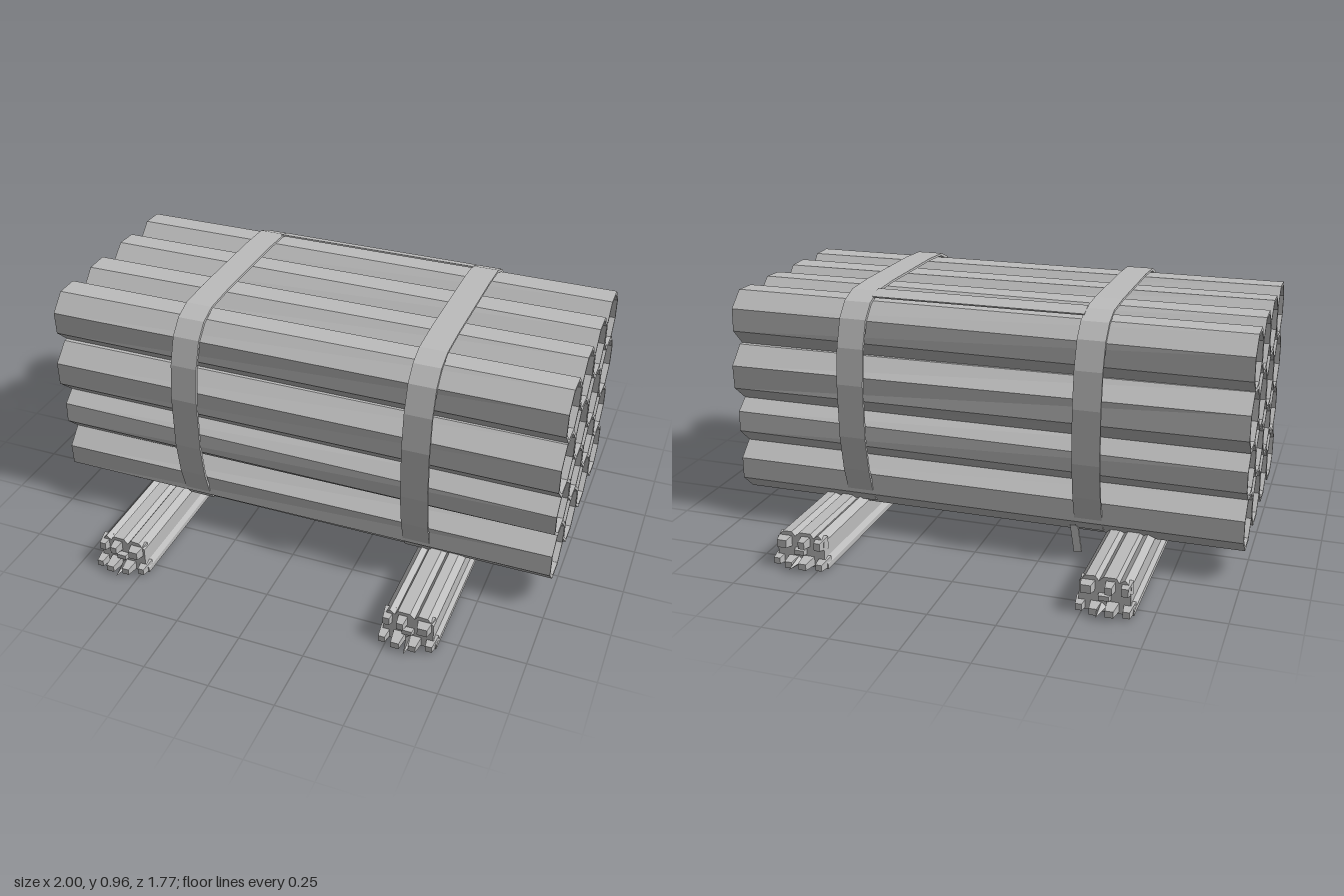
import * as THREE from 'three';

const steel = new THREE.MeshStandardMaterial({ color: 0xbdbdbd, flatShading: true, side: THREE.DoubleSide });
steel.name = 'plain grey';

function mesh(name, geometry, parent) {
  const m = new THREE.Mesh(geometry, steel);
  m.name = name;
  parent.add(m);
  return m;
}

// Extrudes a section drawn in (-z, y) along x, from x0 to x1
function alongX(shape, x0, x1) {
  const g = new THREE.ExtrudeGeometry(shape, { depth: x1 - x0, bevelEnabled: false });
  return g.rotateY(Math.PI / 2).translate(x0, 0, 0);
}

// Eight-sided ring points with flats facing up, down and sideways
function octagon(rz, ry) {
  return Array.from({ length: 8 }, (_, i) => {
    const a = (i + 0.5) * Math.PI / 4;
    return new THREE.Vector2(Math.cos(a) * rz, Math.sin(a) * ry).multiplyScalar(1 / Math.cos(Math.PI / 8));
  });
}

// Hollow pipe, slightly twisted over its length
function pipe(z, y, rz, ry, twist) {
  const shape = new THREE.Shape(octagon(rz, ry));
  shape.holes.push(new THREE.Path(octagon(rz - 0.012, ry - 0.012)));
  const g = alongX(shape, -1, 1);
  const p = g.attributes.position;
  for (let i = 0; i < p.count; i++) {
    const a = twist * p.getX(i), py = p.getY(i), pz = p.getZ(i);
    p.setY(i, py * Math.cos(a) - pz * Math.sin(a));
    p.setZ(i, py * Math.sin(a) + pz * Math.cos(a));
  }
  g.translate(0, y, z);
  g.computeVertexNormals();
  return g;
}

// Thin band over the stack, open underneath
function strap(x0, x1) {
  const half = [[0.42, 0.12], [0.45, 0.16], [0.485, 0.27], [0.508, 0.41], [0.512, 0.62],
    [0.495, 0.76], [0.46, 0.865], [0.41, 0.92], [0.34, 0.948], [0.2, 0.955]];
  const outer = [...half, ...half.slice().reverse().map(([z, y]) => [-z, y])];
  const inner = outer.map(([z, y]) => [z * 0.98, 0.5 + (y - 0.5) * 0.98]).reverse();
  return alongX(new THREE.Shape([...outer, ...inner].map(([z, y]) => new THREE.Vector2(z, y))), x0, x1);
}

// Timber skid along z with a wider foot, grooved top and splintered ends
function skid() {
  const group = new THREE.Group();
  const section = [[-0.105, 0.01], [0.105, 0.01], [0.105, 0.03], [0.092, 0.05], [0.092, 0.115],
    [0.07, 0.14], [0.035, 0.142], [0.022, 0.125], [0.005, 0.142], [-0.04, 0.142],
    [-0.05, 0.125], [-0.07, 0.14], [-0.092, 0.115], [-0.092, 0.05], [-0.105, 0.03]];
  const body = new THREE.ExtrudeGeometry(new THREE.Shape(section.map(([x, y]) => new THREE.Vector2(x, y))),
    { depth: 1.6, bevelEnabled: false });
  mesh('skidBeam', body.translate(0, 0, -0.8), group);
  // x, y, width, height, reach
  const splinters = [[-0.085, 0.03, 0.04, 0.04, 0.84], [-0.03, 0.035, 0.05, 0.04, 0.86],
    [0.03, 0.03, 0.045, 0.04, 0.85], [0.085, 0.03, 0.04, 0.04, 0.83], [-0.075, 0.105, 0.04, 0.05, 0.825],
    [-0.02, 0.11, 0.04, 0.045, 0.84], [0.06, 0.105, 0.06, 0.05, 0.835], [0, 0.07, 0.06, 0.03, 0.82]];
  for (const side of [-1, 1]) {
    for (const [x, y, w, h, reach] of splinters) {
      const g = new THREE.BoxGeometry(w, h, reach - 0.77).translate(x, y, side * (reach + 0.77) / 2);
      const p = g.attributes.position;
      for (let i = 0; i < p.count; i++) {
        if (Math.abs(p.getZ(i)) > reach - 0.01) p.setXY(i, x + (p.getX(i) - x) * 0.6, y + (p.getY(i) - y) * 0.6);
      }
      g.computeVertexNormals();
      mesh('splinter', g, group);
    }
    const tip = new THREE.ConeGeometry(0.022, 0.11, 4).rotateX(side * Math.PI / 2);
    mesh('splinterTip', tip.translate(0.01, 0.03, side * 0.83), group);
  }
  return group;
}

export function createModel() {
  const model = new THREE.Group();
  model.name = 'pipeBundle';

  // Four rows of four pipes: bottom, top and the outer edge of each row
  const rows = [[0.10, 0.305, 0.455], [0.30, 0.495, 0.455], [0.485, 0.71, 0.475], [0.705, 0.92, 0.45]];
  rows.forEach(([y0, y1, edge], r) => {
    const spans = [[-edge, -0.232], [-0.228, -0.003], [0.003, 0.228], [0.232, edge]];
    spans.forEach(([z0, z1], c) => {
      const twist = 0.05 * Math.sin(r * 2.3 + c * 1.7);
      mesh('pipe', pipe((z0 + z1) / 2, (y0 + y1) / 2, (z1 - z0) / 2, (y1 - y0) / 2, twist), model);
    });
  });

  // Straps, a loose strap end and the narrow strip joining the straps
  mesh('strap', strap(-0.48, -0.375), model);
  mesh('strap', strap(0.435, 0.54), model);
  const end = mesh('strapEnd', new THREE.BoxGeometry(0.03, 0.11, 0.01), model);
  end.position.set(-0.375, 0.075, -0.42);
  end.rotation.z = -0.15;
  const strip = mesh('topStrip', new THREE.BoxGeometry(0.82, 0.006, 0.06), model);
  strip.position.set(0.03, 0.942, -0.35);
  strip.rotation.x = -0.3;

  // Skids
  for (const x of [-0.578, 0.575]) {
    const s = skid();
    s.name = 'skid';
    s.position.set(x, -0.01, 0);
    s.scale.x = Math.sign(-x) === 1 ? 1 : 1.02;
    model.add(s);
  }
  return model;
}
